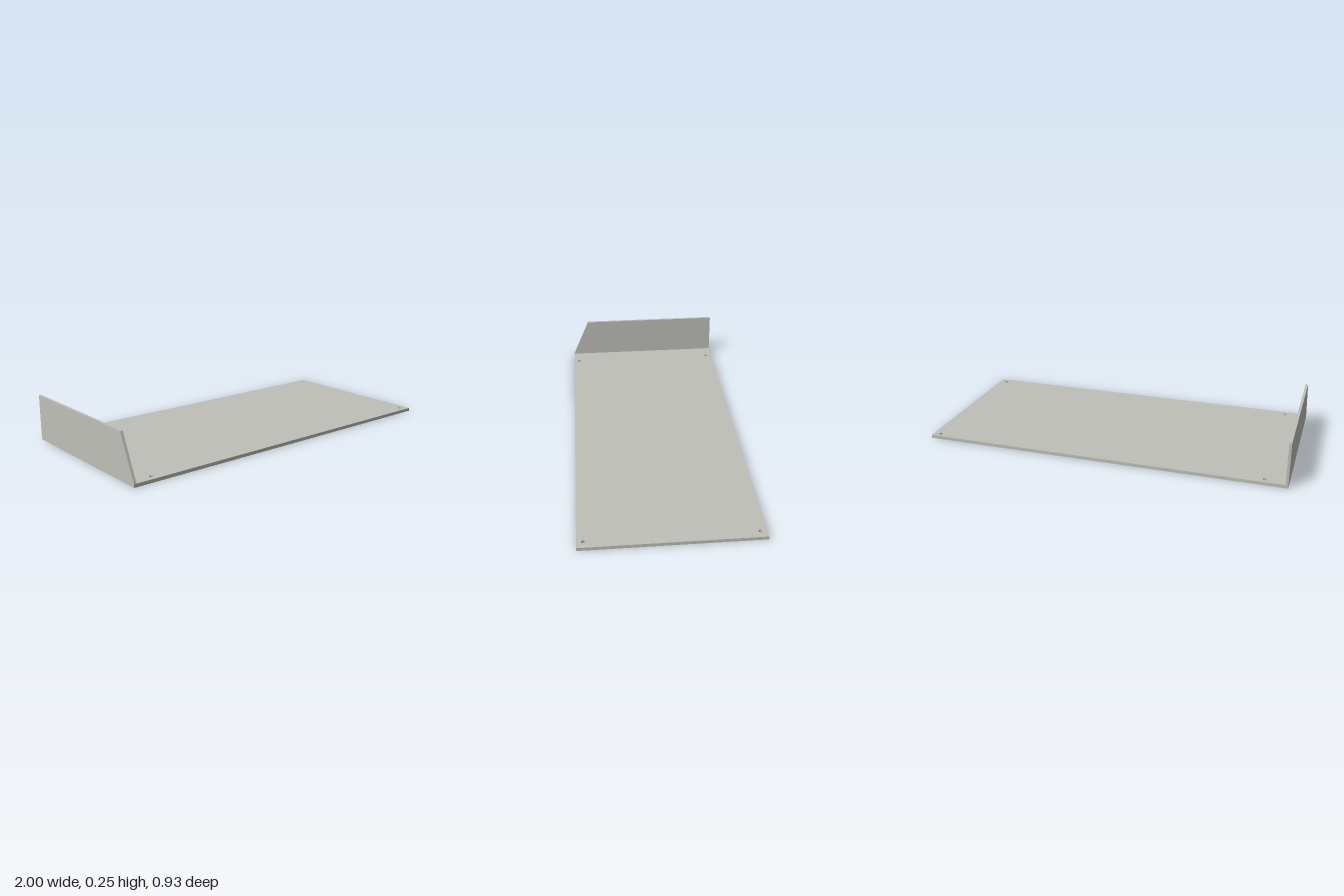
import * as THREE from 'three';

const HALF_X = 1, HALF_Z = 0.466;
const BASE_T = 0.018, WALL_T = 0.014, WALL_H = 0.25;

export function createModel() {
  const group = new THREE.Group();
  const metal = new THREE.MeshStandardMaterial({ color: 0xc0c0ba });
  metal.name = 'pale grey metal';

  // Flat base with four through holes; shape y becomes -z
  const outline = new THREE.Shape([
    new THREE.Vector2(-HALF_X, -HALF_Z), new THREE.Vector2(HALF_X, -HALF_Z),
    new THREE.Vector2(HALF_X, HALF_Z), new THREE.Vector2(-HALF_X, HALF_Z),
  ]);
  for (const x of [-0.88, 0.957]) {
    for (const z of [-0.433, 0.43]) {
      outline.holes.push(new THREE.Path().absarc(x, -z, 0.011, 0, Math.PI * 2, true));
    }
  }
  const baseGeometry = new THREE.ExtrudeGeometry(outline, {
    depth: BASE_T, bevelEnabled: false, curveSegments: 16,
  });
  baseGeometry.rotateX(-Math.PI / 2);
  const base = new THREE.Mesh(baseGeometry, metal);
  base.name = 'basePlate';
  group.add(base);

  // Upright side flange with a slanted front edge; shape x becomes -z
  const profile = new THREE.Shape([
    new THREE.Vector2(-HALF_Z, BASE_T), new THREE.Vector2(HALF_Z, BASE_T),
    new THREE.Vector2(HALF_Z, WALL_H), new THREE.Vector2(-0.363, WALL_H),
  ]);
  const flangeGeometry = new THREE.ExtrudeGeometry(profile, { depth: WALL_T, bevelEnabled: false });
  flangeGeometry.rotateY(Math.PI / 2);
  const flange = new THREE.Mesh(flangeGeometry, metal);
  flange.name = 'sideFlange';
  flange.position.x = -HALF_X;
  group.add(flange);

  return group;
}
